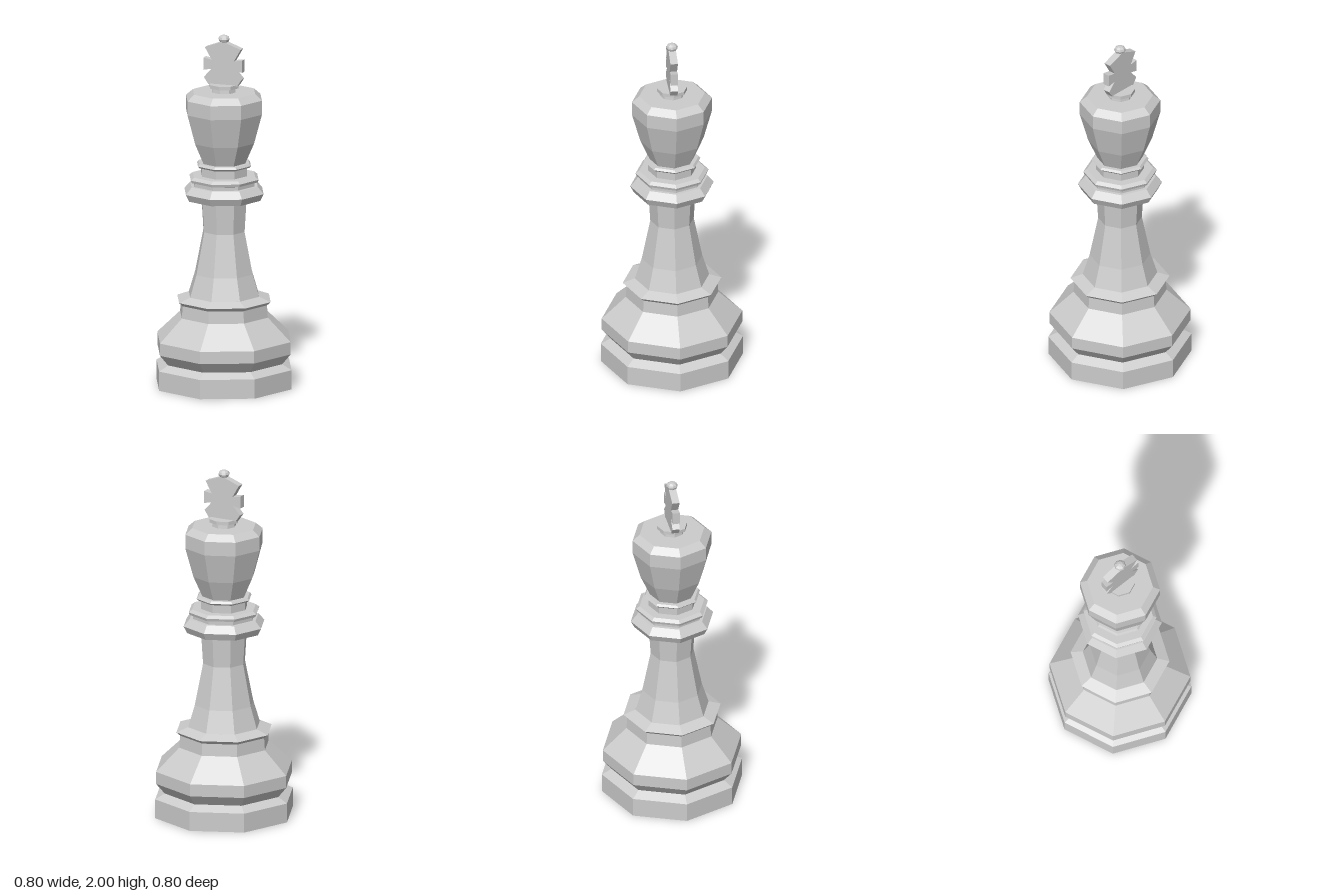
import * as THREE from 'three';

const material = new THREE.MeshStandardMaterial({ color: 0xcccccc, flatShading: true });

function add(group, name, geometry) {
  const mesh = new THREE.Mesh(geometry, material);
  mesh.name = name;
  group.add(mesh);
  return mesh;
}

// Eight-sided turned part from [radius, height] pairs, listed bottom to top
function turned(group, name, profile) {
  const points = profile.map(([r, y]) => new THREE.Vector2(r, y));
  return add(group, name, new THREE.LatheGeometry(points, 8));
}

export function createModel() {
  const king = new THREE.Group();
  king.name = 'chessKing';

  // Foot, waist groove, bulge and flange
  turned(king, 'base', [
    [0, 0], [0.4, 0], [0.4, 0.11], [0.345, 0.14], [0.395, 0.2], [0.395, 0.27],
    [0.26, 0.4], [0.255, 0.47], [0.277, 0.49], [0.21, 0.515], [0, 0.515],
  ]);

  // Tapered shaft
  turned(king, 'shaft', [[0.21, 0.51], [0.17, 0.64], [0.122, 0.88], [0.134, 1.07]]);

  // Stacked collar and neck
  turned(king, 'collar', [
    [0, 1.065], [0.215, 1.065], [0.235, 1.105], [0.2, 1.145], [0.18, 1.145], [0.18, 1.165],
    [0.2, 1.17], [0.205, 1.185], [0.185, 1.2], [0.135, 1.2],
  ]);
  turned(king, 'neck', [
    [0.135, 1.195], [0.135, 1.25], [0.15, 1.25], [0.16, 1.26], [0.15, 1.272], [0.125, 1.272],
  ]);

  // Flared head with a bevelled rim
  turned(king, 'head', [
    [0.125, 1.27], [0.178, 1.39], [0.225, 1.56], [0.225, 1.64], [0.185, 1.675], [0, 1.675],
  ]);

  // Small pedestal under the cross
  turned(king, 'crossPedestal', [
    [0.07, 1.67], [0.066, 1.7], [0.085, 1.7], [0.085, 1.72], [0, 1.72],
  ]);

  // Flared cross: right half outline, mirrored to close the shape
  const half = [
    [0.085, 1.715], [0.112, 1.755], [0.068, 1.805], [0.115, 1.795],
    [0.115, 1.865], [0.066, 1.857], [0.106, 1.926],
  ];
  const mirrored = half.map(([x, y]) => [-x, y]).reverse();
  const outline = [...half, [0, 1.965], ...mirrored].map(([x, y]) => new THREE.Vector2(x, y));
  const cross = new THREE.ExtrudeGeometry(new THREE.Shape(outline), { depth: 0.042, bevelEnabled: false });
  cross.translate(0, 0, -0.021);
  add(king, 'cross', cross);

  // Finial stem and flattened ball
  turned(king, 'finialStem', [[0.02, 1.94], [0.02, 1.97]]);
  const ball = add(king, 'finialBall', new THREE.SphereGeometry(0.033, 8, 6));
  ball.scale.y = 0.7;
  ball.position.y = 1.977;

  return king;
}
